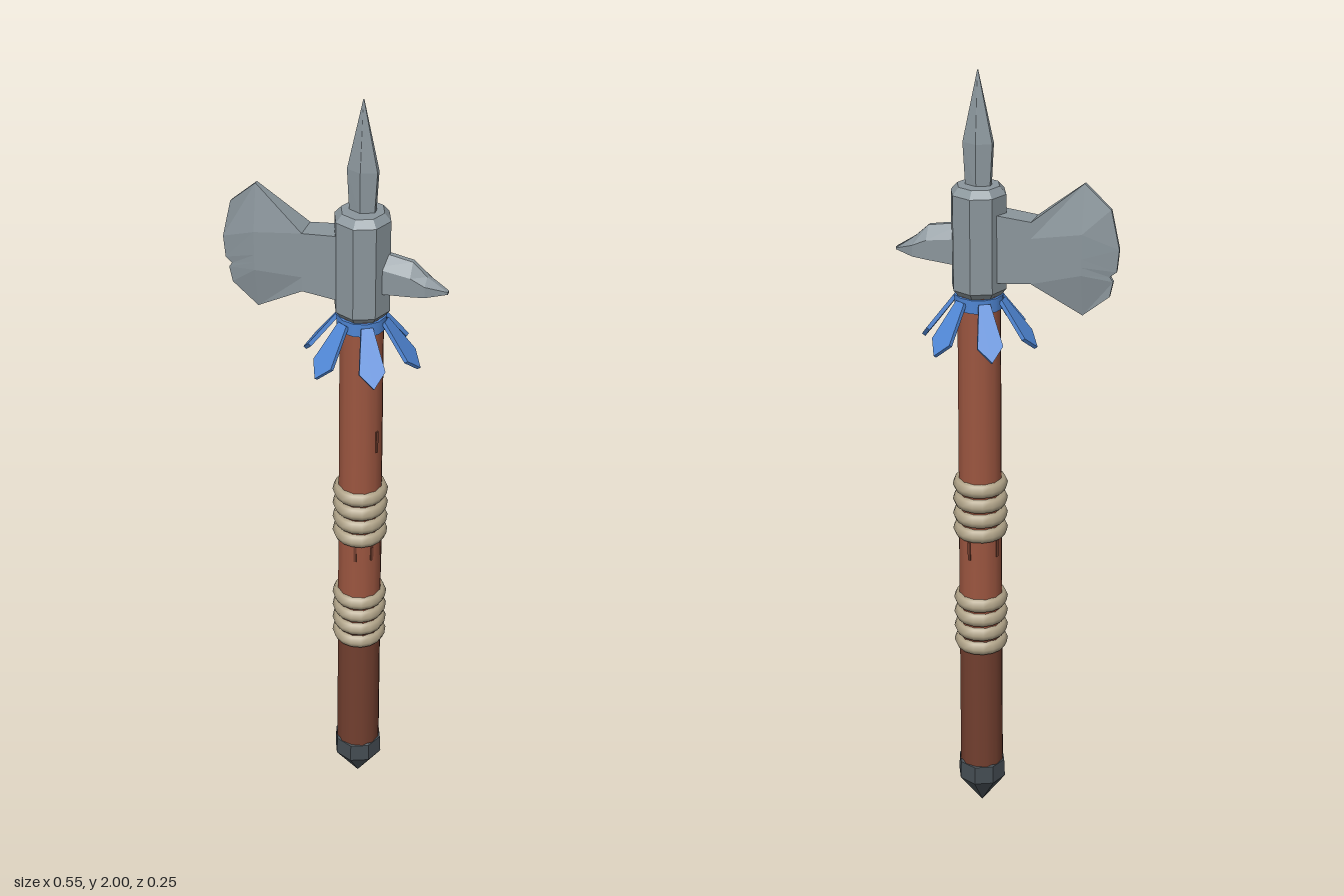
import * as THREE from 'three';

const AXIS = 0.067; // x of the shaft

const mat = (name, color) => {
  const m = new THREE.MeshStandardMaterial({ color });
  m.name = name;
  return m;
};

// one normal per face
function faceted(geometry) {
  const g = geometry.index ? geometry.toNonIndexed() : geometry;
  g.computeVertexNormals();
  return g;
}

// lathe from [radius, y] points, bottom to top
const lathe = (points, sides) =>
  new THREE.LatheGeometry(points.map(([r, y]) => new THREE.Vector2(r, y)), sides);

// Solid through stations of [x, y, z] rows; every row is mirrored to -z
function mirroredLoft(stations) {
  const rows = stations[0].length, n = rows * 2;
  const pos = [], idx = [];
  for (const s of stations) {
    s.forEach(([x, y, z]) => pos.push(x, y, z));
    [...s].reverse().forEach(([x, y, z]) => pos.push(x, y, -z));
  }
  for (let s = 0; s < stations.length - 1; s++) {
    for (let i = 0; i < n; i++) {
      const j = (i + 1) % n;
      const a = s * n + i, b = a + n, c = (s + 1) * n + j, d = s * n + j;
      idx.push(a, b, c, a, c, d);
    }
  }
  const last = (stations.length - 1) * n;
  for (let i = 0; i < rows - 1; i++) {
    const a = i, b = i + 1, c = n - 2 - i, d = n - 1 - i;
    idx.push(a, b, c, a, c, d);
    idx.push(last + a, last + c, last + b, last + a, last + d, last + c);
  }
  const g = new THREE.BufferGeometry();
  g.setAttribute('position', new THREE.Float32BufferAttribute(pos, 3));
  g.setIndex(idx);
  return faceted(g);
}

export function createModel() {
  const steel = mat('steel', 0x8b969c);
  const darkIron = mat('dark iron', 0x444c52);
  const wood = mat('wood', 0x9c5640);
  const darkWood = mat('dark wood', 0x723f2f);
  const rope = mat('rope', 0xb0a388);
  const blue = mat('blue cloth', 0x4f86d4);

  const model = new THREE.Group();
  model.name = 'tomahawk';
  const add = (name, geometry, material, x = 0, y = 0, z = 0, parent = model) => {
    const mesh = new THREE.Mesh(geometry, material);
    mesh.name = name;
    mesh.position.set(x, y, z);
    parent.add(mesh);
    return mesh;
  };

  // shaft
  add('lowerHandle', new THREE.CylinderGeometry(0.056, 0.057, 0.43, 12), darkWood, AXIS, 0.335);
  add('upperHandle', new THREE.CylinderGeometry(0.053, 0.056, 0.93, 12), wood, AXIS, 1.015);

  // pommel
  add('pommel', faceted(lathe([[0, 0], [0.064, 0.09], [0.062, 0.14], [0.05, 0.145], [0, 0.145]], 8)),
    darkIron, AXIS);

  // rope grips
  for (const [name, base] of [['lowerGrip', 0.506], ['upperGrip', 0.831]]) {
    const grip = new THREE.Group();
    grip.name = name;
    model.add(grip);
    for (let i = 0; i < 4; i++) {
      const ring = add('ropeRing', new THREE.TorusGeometry(0.048, 0.021, 8, 16), rope,
        AXIS, base + i * 0.0417, 0, grip);
      ring.rotation.x = Math.PI / 2;
    }
  }

  // cracks in the wood
  for (const [angle, y, h] of [[0.1, 0.79, 0.05], [0.9, 0.785, 0.04], [1.6, 0.79, 0.06],
    [2.9, 0.785, 0.05], [4.3, 0.79, 0.05], [1.1, 1.12, 0.06]]) {
    const crack = add('crack', new THREE.BoxGeometry(0.007, h, 0.006), darkWood,
      AXIS + Math.sin(angle) * 0.0535, y, Math.cos(angle) * 0.0535);
    crack.rotation.y = angle;
  }

  // socket of the head
  add('headSocket', faceted(lathe([[0, 1.46], [0.054, 1.46], [0.068, 1.478], [0.068, 1.712],
    [0.052, 1.73], [0, 1.73]], 8)), steel, AXIS);

  // axe blade with a nicked cutting edge
  const span = (x, ys, zs) => ys.map((y, i) => [x, y, zs[i]]);
  add('axeBlade', mirroredLoft([
    span(0.03, [1.67, 1.62, 1.58, 1.56, 1.545, 1.5], Array(6).fill(0.033)),
    span(-0.07, [1.66, 1.62, 1.58, 1.56, 1.545, 1.508], Array(6).fill(0.03)),
    span(-0.19, [1.757, 1.64, 1.58, 1.56, 1.54, 1.434], [0.005, 0.025, 0.025, 0.025, 0.025, 0.005]),
    [[-0.254, 1.7, 0.004], [-0.275, 1.605, 0.004], [-0.27, 1.55, 0.004],
      [-0.254, 1.537, 0.006], [-0.262, 1.525, 0.004], [-0.254, 1.487, 0.004]],
  ]), steel);

  // rear spike
  const spikeSection = (x, bottom, mid, top, z) =>
    [[x, bottom, z], [x, mid, z], [x, top, Math.min(z, 0.006)]];
  add('rearSpike', mirroredLoft([
    spikeSection(0.1, 1.532, 1.6, 1.635, 0.027),
    spikeSection(0.19, 1.54, 1.588, 1.62, 0.027),
    spikeSection(0.225, 1.544, 1.572, 1.588, 0.027),
    spikeSection(0.274, 1.55, 1.553, 1.556, 0.005),
  ]), steel);

  // top spike
  const pointSection = (y, w, edge, ridge) =>
    [[AXIS + w, y, edge], [AXIS, y, ridge], [AXIS - w, y, edge]];
  add('topSpike', mirroredLoft([
    pointSection(1.72, 0.03, 0.007, 0.02),
    pointSection(1.83, 0.036, 0.007, 0.021),
    pointSection(2, 0.001, 0.001, 0.001),
  ]), steel);

  // cloth band and six hanging tassels
  add('clothBand', new THREE.CylinderGeometry(0.06, 0.06, 0.034, 12), blue, AXIS, 1.445);
  const outline = new THREE.Shape([[-0.014, 0], [-0.031, -0.105], [0, -0.143], [0.031, -0.105], [0.014, 0]]
    .map(([x, y]) => new THREE.Vector2(x, y)));
  const tassel = new THREE.ExtrudeGeometry(outline, { depth: 0.01, bevelEnabled: false });
  tassel.translate(0, 0, -0.005);
  tassel.rotateX(-0.64);
  tassel.translate(0, 1.45, 0.057);
  for (let i = 0; i < 6; i++) {
    add('tassel', tassel, blue, AXIS).rotation.y = Math.PI / 2 + (i * Math.PI) / 3;
  }

  return model;
}
